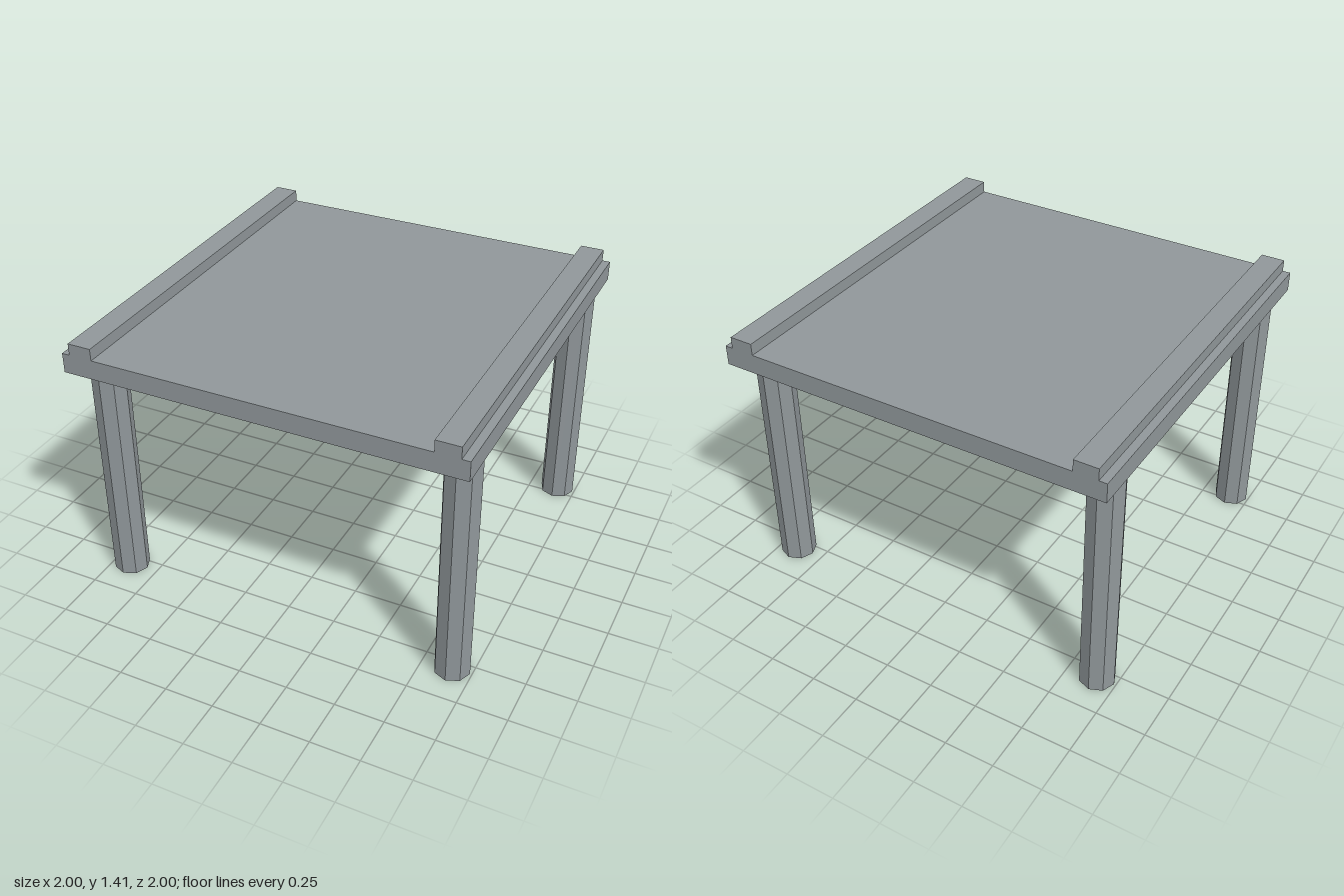
import * as THREE from 'three';

export function createModel() {
  const model = new THREE.Group();
  model.name = 'platform';
  const concrete = new THREE.MeshStandardMaterial({ color: 0x90979a, flatShading: true });
  concrete.name = 'concrete grey';

  const add = (name, geometry, x, y, z) => {
    const mesh = new THREE.Mesh(geometry, concrete);
    mesh.name = name;
    mesh.position.set(x, y, z);
    model.add(mesh);
  };

  // Square deck slab
  add('deck', new THREE.BoxGeometry(2, 0.1, 2), 0, 1.3, 0);

  const railGeometry = new THREE.BoxGeometry(0.12, 0.06, 2);
  const legGeometry = new THREE.CylinderGeometry(0.09, 0.09, 1.25, 8);

  for (const side of [-1, 1]) {
    const sideName = side > 0 ? 'left' : 'right';
    // Kerb running along each side edge
    add(`${sideName}Kerb`, railGeometry, side * 0.9, 1.38, 0);
    // Octagonal support columns
    for (const end of [-1, 1]) {
      add(`${sideName}${end > 0 ? 'Front' : 'Back'}Column`, legGeometry, side * 0.9, 0.625, end * 0.8);
    }
  }
  return model;
}
